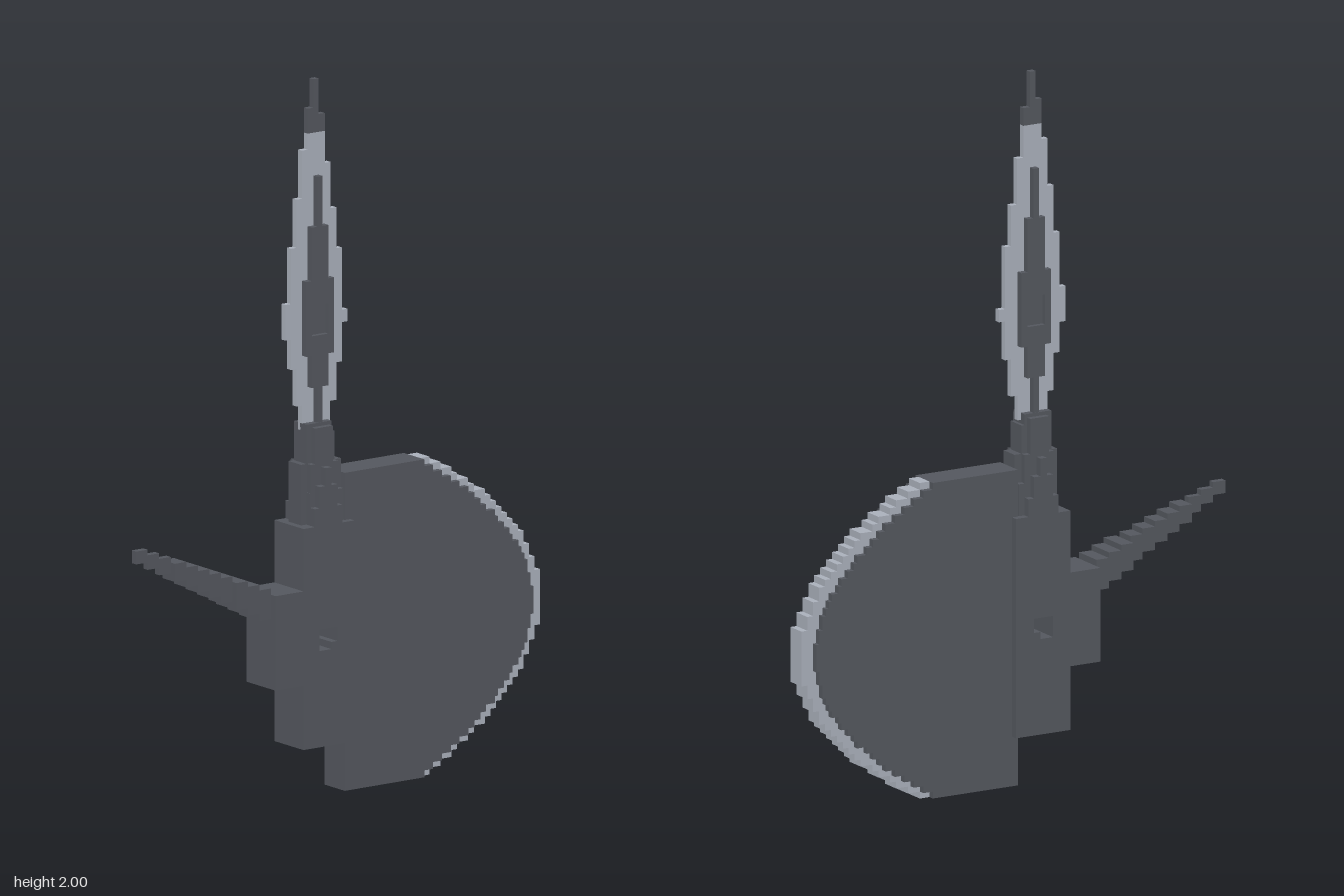
import * as THREE from 'three';

const darkIron = new THREE.MeshStandardMaterial({ color: 0x54575e });
darkIron.name = 'dark iron';
const paleSteel = new THREE.MeshStandardMaterial({ color: 0xaab0bb });
paleSteel.name = 'pale steel';

// Extruded slab with a stepped outline; rows run upward as [top, left, right]
function steppedSlab(name, bottom, rows, halfDepth, material, hole) {
  const left = [], right = [];
  let y = bottom;
  for (const [top, x0, x1] of rows) {
    left.push([x0, y], [x0, top]);
    right.push([x1, y], [x1, top]);
    y = top;
  }
  const toPoints = list => list.map(p => new THREE.Vector2(p[0], p[1]));
  const shape = new THREE.Shape(toPoints([...right, ...left.reverse()]));
  if (hole) shape.holes.push(new THREE.Path(toPoints(hole)));
  const geometry = new THREE.ExtrudeGeometry(shape, { depth: halfDepth * 2, bevelEnabled: false });
  geometry.translate(0, 0, -halfDepth);
  const mesh = new THREE.Mesh(geometry, material);
  mesh.name = name;
  return mesh;
}

function block(name, x0, x1, y0, y1, z0, z1, material) {
  const mesh = new THREE.Mesh(new THREE.BoxGeometry(x1 - x0, y1 - y0, z1 - z0), material);
  mesh.position.set((x0 + x1) / 2, (y0 + y1) / 2, (z0 + z1) / 2);
  mesh.name = name;
  return mesh;
}

export function createModel() {
  const model = new THREE.Group();
  model.name = 'axeHead';

  // Curved axe blade and its pale cutting edge, both in fine steps
  const bladeRows = [], edgeRows = [];
  const height = 0.892, count = 46, middle = height / 2;
  for (let i = 0; i < count; i++) {
    const y0 = (i / count) * height, y1 = ((i + 1) / count) * height;
    const d = (y0 + y1) / 2 - middle;
    const bulge = 0.385 * (d / middle) ** 2;
    const inner = Math.round((0.638 - bulge) / 0.01) * 0.01;
    const outer = Math.round((0.678 - bulge) / 0.0188) * 0.0188;
    bladeRows.push([y1, 0, inner]);
    edgeRows.push([y1, inner, outer]);
  }
  model.add(steppedSlab('axeBlade', 0, bladeRows, 0.047, darkIron));
  model.add(steppedSlab('cuttingEdge', 0, edgeRows, 0.029, paleSteel));

  // Socket block with its notched eyehole
  model.add(steppedSlab('socket', 0.14,
    [[0.32, -0.155, 0.018], [0.585, -0.25, 0.018], [0.76, -0.155, 0.018]], 0.067, darkIron,
    [[-0.1, 0.41], [-0.1, 0.47], [-0.04, 0.47], [-0.04, 0.43], [-0.06, 0.43], [-0.06, 0.41]]));

  // Back horn, rising in small blocks that grow thinner towards the tip
  const horn = new THREE.Group();
  horn.name = 'backHorn';
  const steps = 11;
  for (let i = 0; i < steps; i++) {
    const t = i / (steps - 1);
    const x1 = -0.25 - i * 0.0392;
    const centre = 0.56 + 0.182 * t;
    const half = 0.043 - 0.025 * t;
    const depth = i < 3 ? 0.047 : i < 8 ? 0.029 : 0.01;
    horn.add(block('hornStep', x1 - 0.0392, x1, centre - half, centre + half, -depth, depth, darkIron));
  }
  model.add(horn);

  // Layered neck between socket and spike
  const neck = new THREE.Group();
  neck.name = 'neck';
  neck.add(steppedSlab('neckCore', 0.76,
    [[0.93, -0.135, 0], [1.01, -0.117, -0.022], [1.04, -0.117, -0.032]], 0.029, darkIron));
  neck.add(steppedSlab('neckCollar', 0.76,
    [[0.85, -0.117, -0.004], [0.93, -0.115, -0.022], [1.03, -0.1, -0.04]], 0.046, darkIron));
  neck.add(steppedSlab('neckRib', 0.76,
    [[0.81, -0.117, -0.022], [0.87, -0.1, -0.04], [0.92, -0.08, -0.06]], 0.067, darkIron));
  model.add(neck);

  // Thin pale spike blade
  model.add(steppedSlab('spikeBlade', 1.02, [
    [1.09, -0.117, -0.022], [1.195, -0.136, 0], [1.28, -0.155, 0.018],
    [1.305, -0.174, 0.018], [1.34, -0.174, 0.037], [1.38, -0.174, 0.018],
    [1.515, -0.155, 0.018], [1.535, -0.155, 0], [1.63, -0.136, 0],
    [1.67, -0.136, -0.02], [1.76, -0.117, -0.02], [1.805, -0.117, -0.04],
    [1.85, -0.098, -0.04],
  ], 0.009, paleSteel));
  model.add(steppedSlab('spikeTip', 1.85,
    [[1.9, -0.098, -0.04], [1.92, -0.098, -0.061], [2, -0.079, -0.061]], 0.009, darkIron));

  // Raised dark spine with a square recess on both faces
  model.add(steppedSlab('spikeSpine', 1.03, [
    [1.14, -0.079, -0.061], [1.23, -0.098, -0.042], [1.44, -0.117, -0.022],
    [1.59, -0.098, -0.042], [1.73, -0.079, -0.061],
  ], 0.028, darkIron, [[-0.098, 1.285], [-0.098, 1.37], [-0.042, 1.37], [-0.042, 1.285]]));
  model.add(block('recessFloor', -0.1, -0.04, 1.283, 1.372, -0.014, 0.014, darkIron));

  return model;
}
